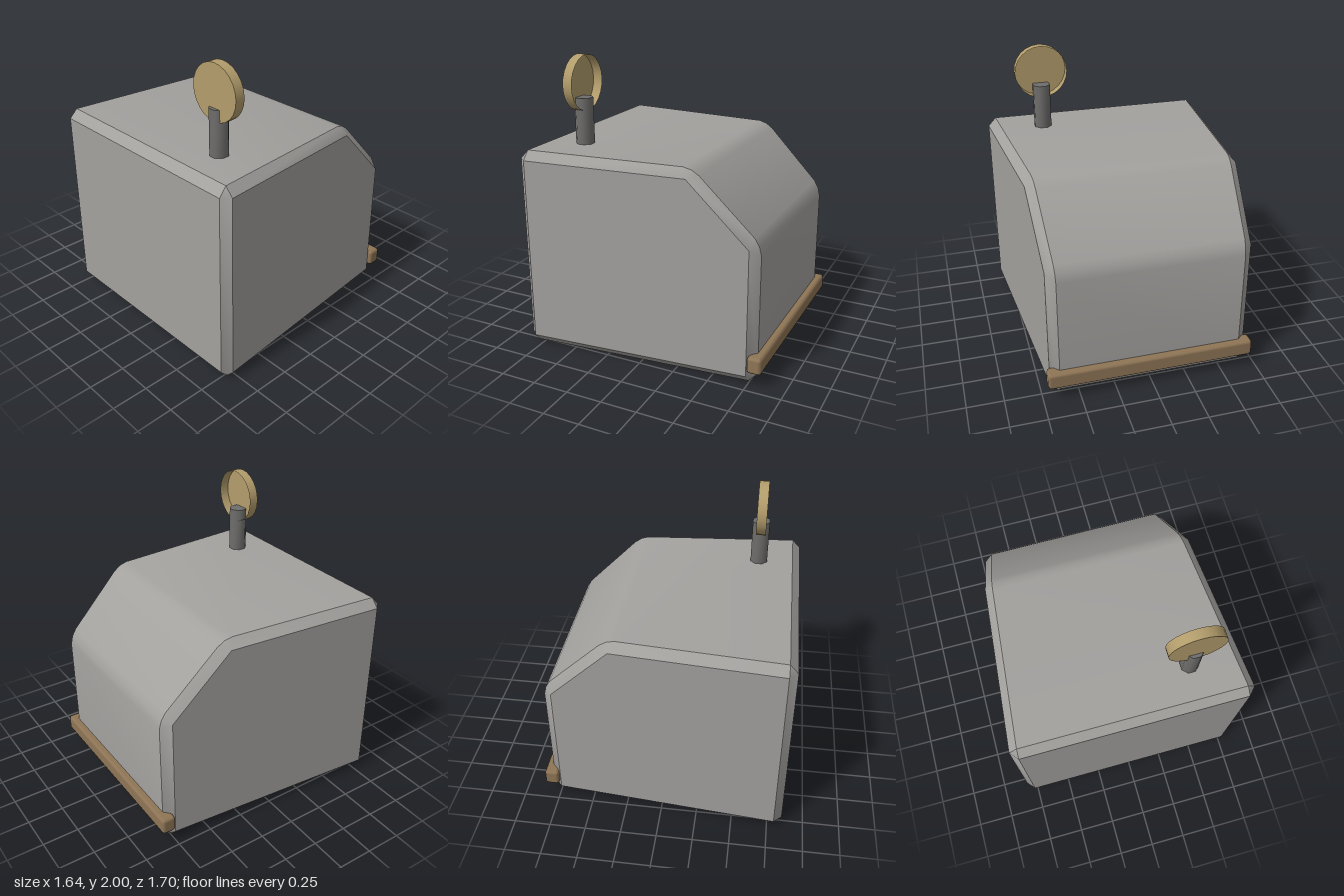
import * as THREE from 'three';
import { toCreasedNormals } from 'three/addons/utils/BufferGeometryUtils.js';
import { RoundedBoxGeometry } from 'three/addons/geometries/RoundedBoxGeometry.js';

function material(name, color, side = THREE.FrontSide) {
  const m = new THREE.MeshStandardMaterial({ color, side });
  m.name = name;
  return m;
}

// Tapered housing: side panels joined by chamfers to the wrap-around shell
function bodyGeometry() {
  // side panel corners as [z, y]
  const panel = [[0.795, 0.06], [0.795, 1.34], [-0.33, 1.34], [-0.74, 0.93], [-0.74, 0.06]];
  // shell outline as [panel corner, z, y]
  const shell = [
    [0, 0.85, 0.06], [1, 0.85, 1.34], [1, 0.795, 1.4],
    [2, -0.29, 1.4], [2, -0.345, 1.386], [2, -0.395, 1.353],
    [3, -0.755, 0.995], [3, -0.785, 0.945], [3, -0.8, 0.885],
    [4, -0.8, 0.06], [4, -0.74, 0], [0, 0.795, 0],
  ];
  const halfWidth = (z) => 0.753 + 0.085 * z;
  const inner = (s) => panel.map(([z, y]) => new THREE.Vector3(s * halfWidth(z), y, z));
  const outer = (s) => shell.map(([, z, y]) => new THREE.Vector3(s * (halfWidth(z) - 0.055), y, z));
  const right = inner(1), left = inner(-1);
  const rings = [shell.map(([k]) => right[k]), outer(1), outer(-1), shell.map(([k]) => left[k])];

  const points = [];
  const triangle = (a, b, c) => {
    if (new THREE.Triangle(a, b, c).getArea() > 1e-7) points.push(a, b, c);
  };
  for (let r = 0; r < 3; r++) {
    for (let i = 0; i < shell.length; i++) {
      const j = (i + 1) % shell.length;
      const [a, b, c, d] = [rings[r][i], rings[r][j], rings[r + 1][j], rings[r + 1][i]];
      triangle(a, b, c);
      triangle(a, c, d);
    }
  }
  for (let i = 1; i < panel.length - 1; i++) {
    triangle(right[0], right[i + 1], right[i]);
    triangle(left[0], left[i], left[i + 1]);
  }
  return toCreasedNormals(new THREE.BufferGeometry().setFromPoints(points), 0.6);
}

export function createModel() {
  const model = new THREE.Group();
  const grey = material('housing grey', 0xa3a19e);
  const darkGrey = material('post dark grey', 0x6f6e6d);
  const tan = material('dish tan', 0xb39d6c, THREE.DoubleSide);
  const brown = material('bar brown', 0x8f7556);

  function add(name, geometry, mat, x = 0, y = 0, z = 0, parent = model) {
    const mesh = new THREE.Mesh(geometry, mat);
    mesh.name = name;
    mesh.position.set(x, y, z);
    parent.add(mesh);
    return mesh;
  }

  add('housing', bodyGeometry(), grey);

  // Low bar across the back
  add('rearBar', new RoundedBoxGeometry(1.43, 0.115, 0.1, 1, 0.022), brown, 0, 0.157, -0.798);

  // Post standing on the roof
  const post = new THREE.CylinderGeometry(0.064, 0.064, 0.365, 8);
  post.rotateY(Math.PI / 8);
  add('post', toCreasedNormals(post, 0.9), darkGrey, 0.443, 1.5325, 0.553);

  // Shallow dish, closed at the front and open at the back
  const dish = new THREE.Group();
  dish.name = 'dish';
  dish.position.set(0.443, 1.813, 0.555);
  model.add(dish);
  const rim = new THREE.CylinderGeometry(0.187, 0.187, 0.068, 24, 1, true);
  rim.rotateX(Math.PI / 2);
  add('dishRim', rim, tan, 0, 0, 0, dish);
  add('dishFace', new THREE.CircleGeometry(0.187, 24), tan, 0, 0, 0.034, dish);

  return model;
}
